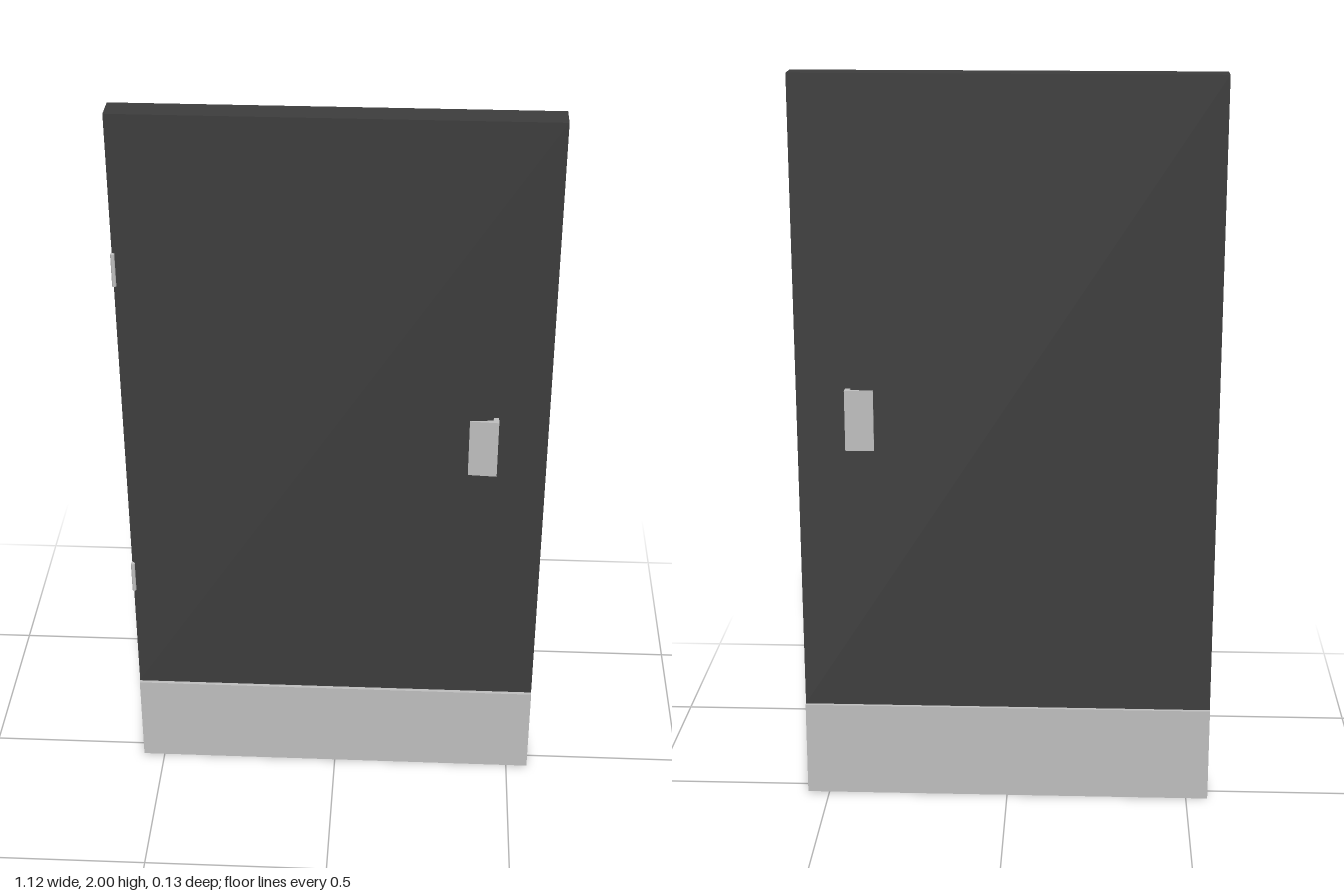
import * as THREE from 'three';

const dark = new THREE.MeshStandardMaterial({ color: 0x3c3c3c });
dark.name = 'dark panel';
const metal = new THREE.MeshStandardMaterial({ color: 0xbdbdbd });
metal.name = 'brushed metal';

const W = 1.12, T = 0.072, KICK_H = 0.265, KICK_T = 0.01;

function box(name, material, w, h, d, x, y, z) {
  const mesh = new THREE.Mesh(new THREE.BoxGeometry(w, h, d), material);
  mesh.name = name;
  mesh.position.set(x, y, z);
  return mesh;
}

// Paddle grip and its post, as a plan outline (x, z) extruded upwards
function handle(side) {
  const outline = [
    [0.415, 0.034], [0.429, 0.034], [0.429, 0.063], [0.415, 0.062],
    [0.353, 0.058], [0.353, 0.055], [0.415, 0.050],
  ];
  const shape = new THREE.Shape(outline.map(([x, z]) => new THREE.Vector2(x, -z * side)));
  const geometry = new THREE.ExtrudeGeometry(shape, { depth: 0.165, bevelEnabled: false });
  geometry.rotateX(-Math.PI / 2);
  const mesh = new THREE.Mesh(geometry, metal);
  mesh.name = side > 0 ? 'frontHandle' : 'backHandle';
  mesh.position.y = 1.01;
  return mesh;
}

export function createModel() {
  const door = new THREE.Group();
  door.name = 'door';

  // Door leaf, with a slightly narrower core inside the kick plates
  door.add(box('doorPanel', dark, W, 2 - KICK_H, T, 0, (2 + KICK_H) / 2, 0));
  door.add(box('panelCore', dark, W - 0.004, KICK_H, T, 0, KICK_H / 2, 0));

  // Kick plates on both faces and caps on both edges
  for (const s of [1, -1]) {
    door.add(box(s > 0 ? 'frontKickPlate' : 'backKickPlate', metal,
      W, KICK_H, KICK_T, 0, KICK_H / 2, s * (T + KICK_T) / 2));
    door.add(box(s > 0 ? 'leftKickCap' : 'rightKickCap', metal,
      0.002, KICK_H, T, s * (W / 2 - 0.001), KICK_H / 2, 0));
    door.add(handle(s));
  }

  // Hinge knuckles along the front corner
  for (const [name, y] of [['lowerHinge', 0.635], ['upperHinge', 1.583]]) {
    const hinge = new THREE.Mesh(new THREE.CylinderGeometry(0.0055, 0.0055, 0.09, 16), metal);
    hinge.name = name;
    hinge.position.set(-W / 2 + 0.002, y, T / 2 + 0.005);
    door.add(hinge);
  }
  return door;
}
